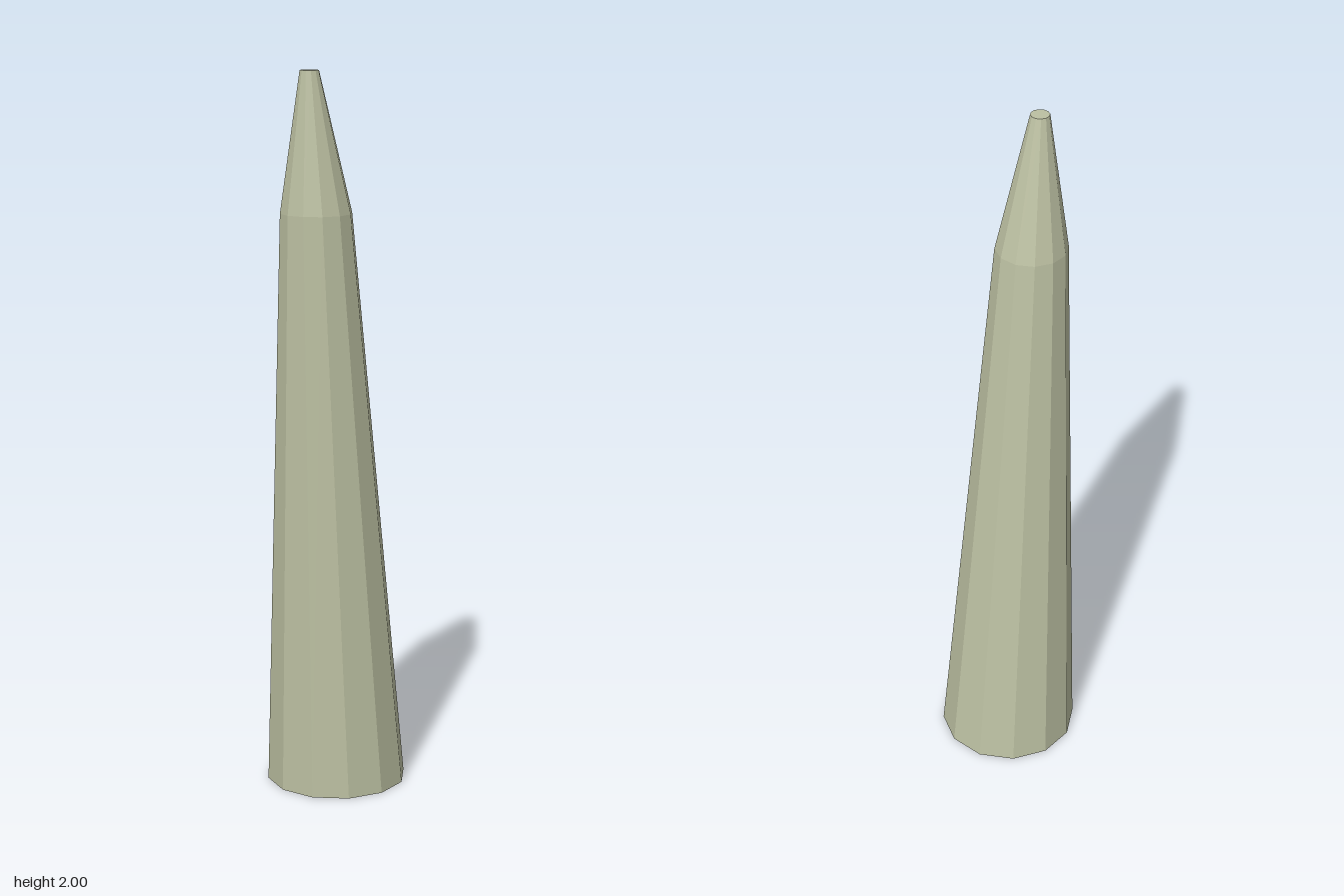
import * as THREE from 'three';

// Cross-sections from bottom to top: height, corner radius, forward shift
const SECTIONS = [
  { y: 0, r: 0.1967, z: 0 },
  { y: 1.62, r: 0.0983, z: 0.095 },
  { y: 2, r: 0.0259, z: 0.125 },
];

export function createModel() {
  const group = new THREE.Group();
  group.name = 'leaningSpike';

  // Twelve-sided unit column with flats facing the axes
  const geometry = new THREE.CylinderGeometry(1, 1, 2, 12, SECTIONS.length - 1);
  geometry.rotateY(Math.PI / 12);

  // Taper and lean each ring to its cross-section
  const pos = geometry.attributes.position;
  for (let i = 0; i < pos.count; i++) {
    const s = SECTIONS[Math.round(pos.getY(i) + 1)];
    pos.setXYZ(i, pos.getX(i) * s.r, s.y, pos.getZ(i) * s.r + s.z);
  }
  geometry.computeVertexNormals();

  const material = new THREE.MeshStandardMaterial({ color: 0xbcc0a2, flatShading: true });
  const spike = new THREE.Mesh(geometry, material);
  spike.name = 'spike';
  group.add(spike);
  return group;
}
